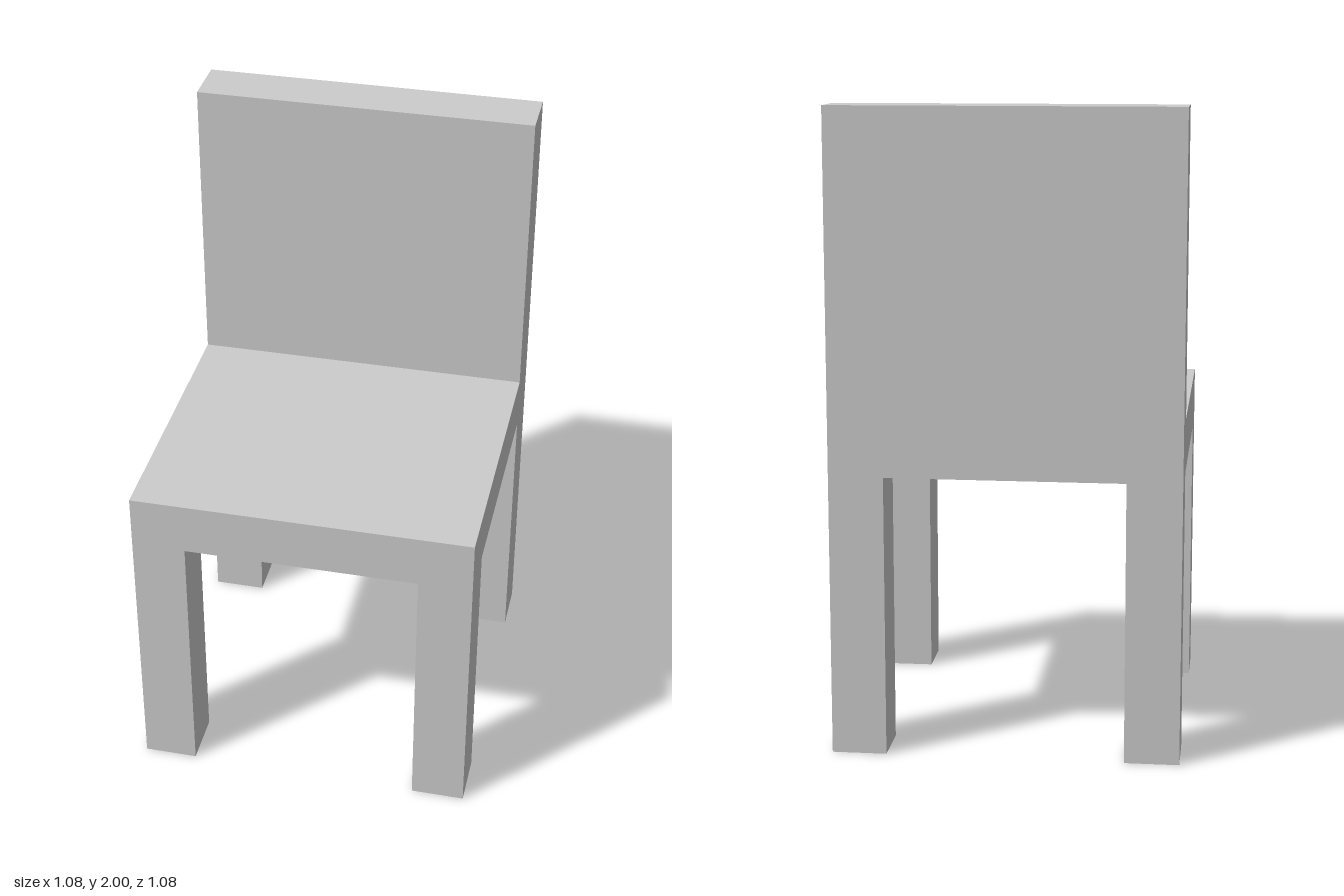
import * as THREE from 'three';

const WIDTH = 1.08;       // seat width and depth
const THICK = 0.17;       // thickness of legs, seat and backrest
const SEAT_BOTTOM = 0.88;
const SEAT_TOP = 1.05;
const HEIGHT = 2;

export function createModel() {
  const chair = new THREE.Group();
  chair.name = 'chair';
  const material = new THREE.MeshStandardMaterial({ color: 0xcccccc, flatShading: true });

  // Box standing on height y0 and reaching y1
  const addBox = (name, width, depth, y0, y1, x, z) => {
    const mesh = new THREE.Mesh(new THREE.BoxGeometry(width, y1 - y0, depth), material);
    mesh.name = name;
    mesh.position.set(x, (y0 + y1) / 2, z);
    chair.add(mesh);
  };

  const edge = (WIDTH - THICK) / 2;

  // Seat slab and the backrest rising from its rear edge
  addBox('seat', WIDTH, WIDTH, SEAT_BOTTOM, SEAT_TOP, 0, 0);
  addBox('backrest', WIDTH, THICK, SEAT_TOP, HEIGHT, 0, -edge);

  // Four square legs, flush with the seat corners
  for (const [side, x] of [['Left', edge], ['Right', -edge]]) {
    addBox(`front${side}Leg`, THICK, THICK, 0, SEAT_BOTTOM, x, edge);
    addBox(`back${side}Leg`, THICK, THICK, 0, SEAT_BOTTOM, x, -edge);
  }

  return chair;
}
